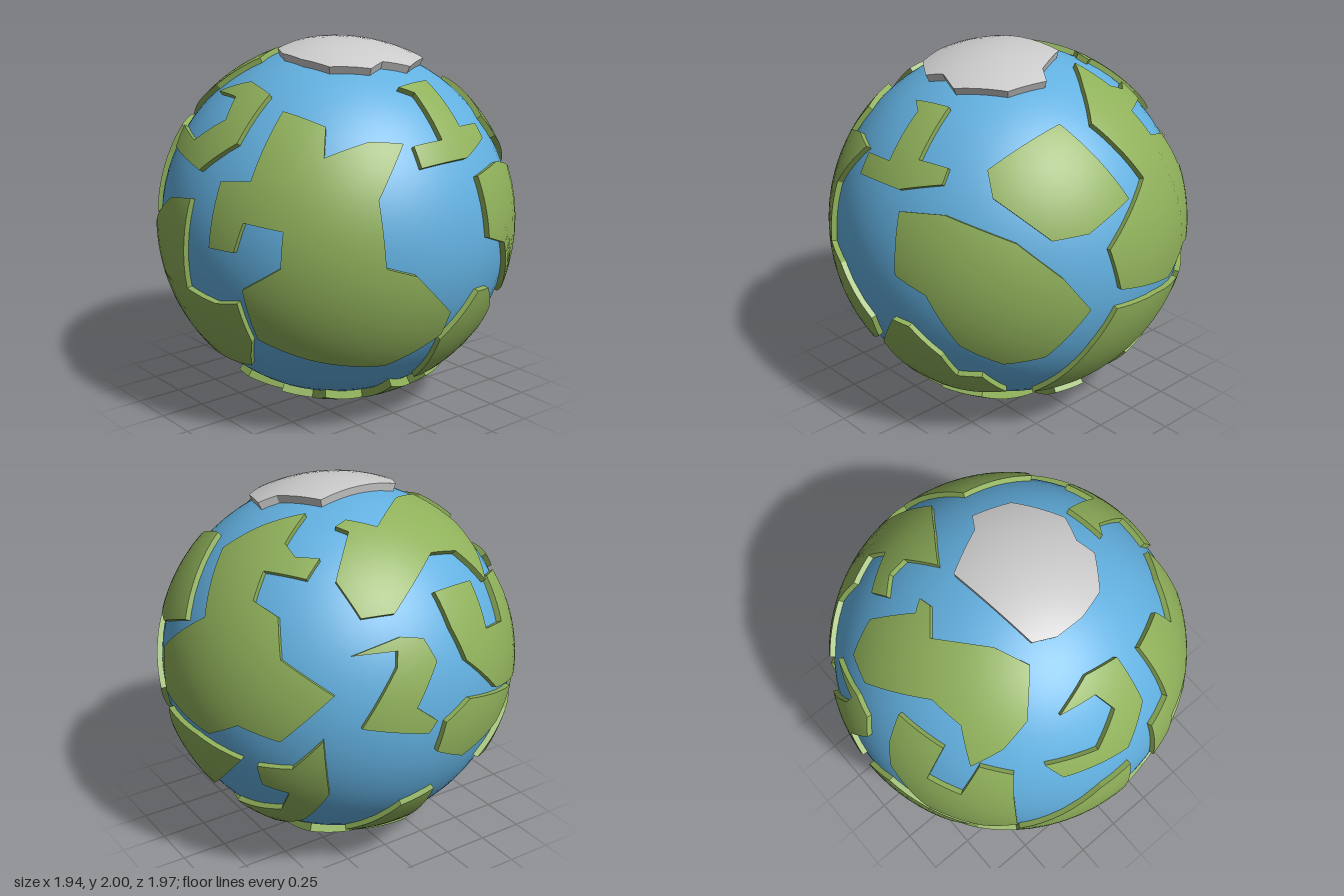
import * as THREE from 'three';

const OCEAN_R = 0.957, LAND_R = 0.985, POLAR_R = 1, RIM_R = 0.94, SPLITS = 3;

// Map directions [azimuth, elevation] in degrees, from which outlines are laid onto the globe
const FRONT = [0, 0], RIGHT = [90, 0], LEFT = [-90, 0], TOP = [0, 90], BOTTOM = [0, -90];
const FRONT_RIGHT = [35, 25], BACK_LEFT = [215, 25], BACK_RIGHT = [140, -30];

// Lift a flat outline (hundredths of a unit from the globe centre) onto the unit sphere
function toDirections([azimuth, elevation], outline) {
  const az = THREE.MathUtils.degToRad(azimuth), el = THREE.MathUtils.degToRad(elevation);
  const right = new THREE.Vector3(Math.cos(az), 0, -Math.sin(az));
  const toward = new THREE.Vector3(Math.cos(el) * Math.sin(az), Math.sin(el), Math.cos(el) * Math.cos(az));
  const up = toward.clone().cross(right);
  const directions = [];
  for (let i = 0; i < outline.length; i += 2) {
    const a = outline[i] / 100, b = outline[i + 1] / 100;
    const depth = Math.sqrt(Math.max(0, LAND_R * LAND_R - a * a - b * b));
    directions.push(new THREE.Vector3().addScaledVector(right, a).addScaledVector(up, b)
      .addScaledVector(toward, depth).normalize());
  }
  return directions;
}

// Curved slab on the sphere: smooth top plus a flat-shaded rim
function slabGeometry(directions, radius) {
  const positions = [], normals = [];
  const addCorner = (p, n) => {
    positions.push(p.x, p.y, p.z);
    normals.push(n.x, n.y, n.z);
  };

  // flatten onto the tangent plane at the middle of the land, counter-clockwise
  const mid = directions.reduce((sum, d) => sum.add(d), new THREE.Vector3()).normalize();
  const u = (Math.abs(mid.y) > 0.9 ? new THREE.Vector3(1, 0, 0) : new THREE.Vector3(0, 1, 0)).cross(mid).normalize();
  const v = mid.clone().cross(u);
  const plane = directions.map((d) => d.clone().divideScalar(d.dot(mid)));
  const flatten = () => plane.map((p) => new THREE.Vector2(p.dot(u), p.dot(v)));
  if (THREE.ShapeUtils.isClockWise(flatten())) plane.reverse();

  // top: split each triangle and push it out to the sphere
  const half = (p, q) => p.clone().add(q).multiplyScalar(0.5);
  const addTop = (a, b, c, splits) => {
    if (splits > 0) {
      const ab = half(a, b), bc = half(b, c), ca = half(c, a);
      for (const t of [[a, ab, ca], [ab, b, bc], [ca, bc, c], [ab, bc, ca]]) addTop(...t, splits - 1);
      return;
    }
    for (const p of [a, b, c]) {
      const n = p.clone().normalize();
      addCorner(n.clone().multiplyScalar(radius), n);
    }
  };
  for (const [i, j, k] of THREE.ShapeUtils.triangulateShape(flatten(), [])) {
    const a = plane[i], b = plane[j], c = plane[k];
    const facing = b.clone().sub(a).cross(c.clone().sub(a)).dot(mid);
    if (facing > 0) addTop(a, b, c, SPLITS);
    else addTop(a, c, b, SPLITS);
  }

  // rim: walls down to just under the sea
  const steps = 2 ** SPLITS;
  plane.forEach((a, i) => {
    const b = plane[(i + 1) % plane.length];
    for (let s = 0; s < steps; s++) {
      const p = a.clone().lerp(b, s / steps).normalize();
      const q = a.clone().lerp(b, (s + 1) / steps).normalize();
      const n = q.clone().sub(p).cross(p).normalize();
      const at = (d, r) => d.clone().multiplyScalar(r);
      const p0 = at(p, RIM_R), q0 = at(q, RIM_R), p1 = at(p, radius), q1 = at(q, radius);
      for (const corner of [p0, q0, q1, p0, q1, p1]) addCorner(corner, n);
    }
  });

  const geometry = new THREE.BufferGeometry();
  geometry.setAttribute('position', new THREE.Float32BufferAttribute(positions, 3));
  geometry.setAttribute('normal', new THREE.Float32BufferAttribute(normals, 3));
  return geometry;
}

export function createModel() {
  const globe = new THREE.Group();
  globe.name = 'globe';
  const sea = new THREE.MeshStandardMaterial({ color: 0x62b0e0 });
  const grass = new THREE.MeshStandardMaterial({ color: 0x8fb05a });
  const ice = new THREE.MeshStandardMaterial({ color: 0xcccccc });

  const add = (name, geometry, material) => {
    const mesh = new THREE.Mesh(geometry, material);
    mesh.name = name;
    mesh.position.y = 1;
    globe.add(mesh);
  };
  const land = (name, view, outline, radius = LAND_R, material = grass) =>
    add(name, slabGeometry(toDirections(view, outline), radius), material);

  add('ocean', new THREE.SphereGeometry(OCEAN_R, 64, 40), sea);

  // Front
  land('frontContinent', FRONT, [2, 26, -2, -22, 20, -25, 34, -22, 34, -44, 21, -63, -17, -64, -40, -43,
    -84, -38, -74, -21, -59, -20, -59, -7, -17, 23]);
  land('smallIsland', FRONT, [-64, -46, -51, -44, -52, -52, -64, -50]);
  land('hookIsland', FRONT, [-20, 74, 1, 81, 20, 77, 21, 55, 3, 40, -33, 45, -38, 55, -12, 52, 5, 64, 0, 74]);
  land('frontLeftContinent', FRONT, [-77, 61, -71, 59, -84, 37, -76, 34, -63, 55, -52, 52, -57, 37, -60, 4,
    -73, -2, -90, 5, -93, 28, -87, 45]);
  land('frontRightContinent', FRONT_RIGHT, [-7, 35, 16, 28, 18, 12, 37, 23, 52, 25, 45, -5, 50, -36, 63, -37,
    76, -50, 71, -61, 45, -80, 10, -82, -15, -75, -20, -53, 1, -42, 2, -25, -19, -22, -24, -36, -39, -34,
    -34, -2, -17, -2]);

  // Sides
  land('rightContinent', BACK_RIGHT, [-59, 44, -56, 68, -34, 76, 0, 72, 23, 56, 37, 37, 15, 14, -6, 10,
    -28, 20, -44, 43]);
  land('upperRightIsland', RIGHT, [-6, 80, 16, 81, 19, 60, 35, 59, 36, 52, 15, 46, -16, 45, -16, 55, 2, 56, 1, 77]);
  land('lowerRightIsland', RIGHT, [17, -22, 27, -23, 39, -39, 40, -54, 52, -52, 52, -68, 2, -75, -2, -46]);
  land('upperLeftContinent', TOP, [-79, 18, -74, 34, -58, 38, -42, 20, -36, 24, -35, 17, -45, 5, -26, -20,
    -18, -37, -34, -54, -50, -55, -66, -49, -59, -34, -62, -16]);
  land('leftIsland', LEFT, [17, 8, 60, -4, 45, -18, 16, -26, -3, -16, 1, 0]);
  land('lowerLeftIsland', BOTTOM, [-88, 3, -83, -14, -55, -30, -52, -15, -62, 4]);

  // Back
  land('backContinent', BACK_LEFT, [-2, 68, -5, 51, 3, 45, 15, 46, 12, 35, -11, 36, -12, 21, 3, 15, 8, -5,
    35, -18, 10, -45, -13, -41, -32, -49, -67, -33, -70, -10, -39, 9, -41, 45, -22, 59]);
  land('upperBackIsland', BACK_LEFT, [-85, 9, -85, 39, -78, 51, -51, 53, -53, 6, -75, 3]);
  land('lowerBackIsland', BACK_RIGHT, [51, 30, 74, 18, 89, 1, 37, -25, 10, -28, 39, 12]);
  land('lowerBackHook', BACK_LEFT, [-4, -60, 15, -58, 31, -41, 31, -69, 12, -88, -18, -95, -28, -86, 3, -83,
    11, -72, -3, -70]);
  land('backLeftIsland', BACK_LEFT, [40, 2, 59, 15, 68, 16, 75, 6, 70, -18, 78, -23, 75, -30, 48, -32, 60, 0, 59, 8]);

  // Poles
  land('southContinent', BOTTOM, [62, 13, 51, -10, 60, -13, 50, -34, 11, -34, 19, -58, 2, -62, -5, -41,
    -36, -40, -40, -13, -57, 6, -37, 33, -20, 24, -17, 54, -7, 55, 2, 26, 11, 46, 17, 30, 36, 36, 34, 9], POLAR_R);
  land('northIceCap', TOP, [11, 40, 31, 34, 46, 11, 41, -3, 44, -13, 32, -30, 16, -35, 0, -35, -11, -30,
    -17, 20, 6, 32], POLAR_R, ice);

  return globe;
}
